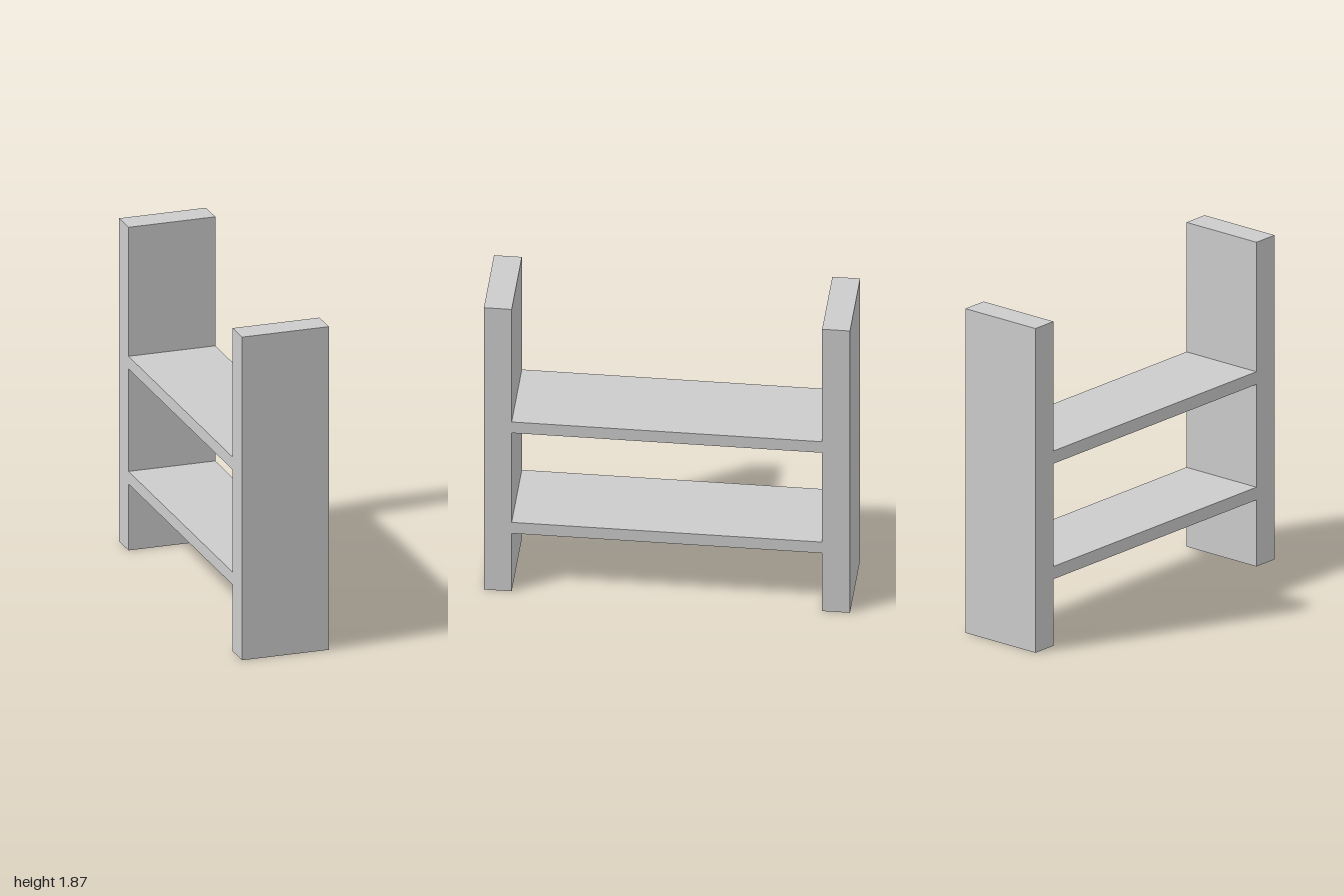
import * as THREE from 'three';

const WIDTH = 0.5;
const HEIGHT = 1.867;
const PANEL = 0.152; // thickness of the upright end panels
const SHELF = 0.073; // thickness of the shelves

export function createModel() {
  const model = new THREE.Group();
  model.name = 'shelfUnit';
  const material = new THREE.MeshStandardMaterial({ color: 0xcccccc, flatShading: true });

  const addBoard = (name, height, depth, y, z) => {
    const board = new THREE.Mesh(new THREE.BoxGeometry(WIDTH, height, depth), material);
    board.name = name;
    board.position.set(0, y, z);
    model.add(board);
  };

  // Upright end panels
  for (const side of [1, -1]) {
    addBoard(side > 0 ? 'frontPanel' : 'backPanel', HEIGHT, PANEL, HEIGHT / 2, side * (1 - PANEL / 2));
  }

  // Shelves spanning between the panels
  addBoard('lowerShelf', SHELF, 2 - 2 * PANEL, 0.42, 0);
  addBoard('upperShelf', SHELF, 2 - 2 * PANEL, 1.085, 0);

  return model;
}
